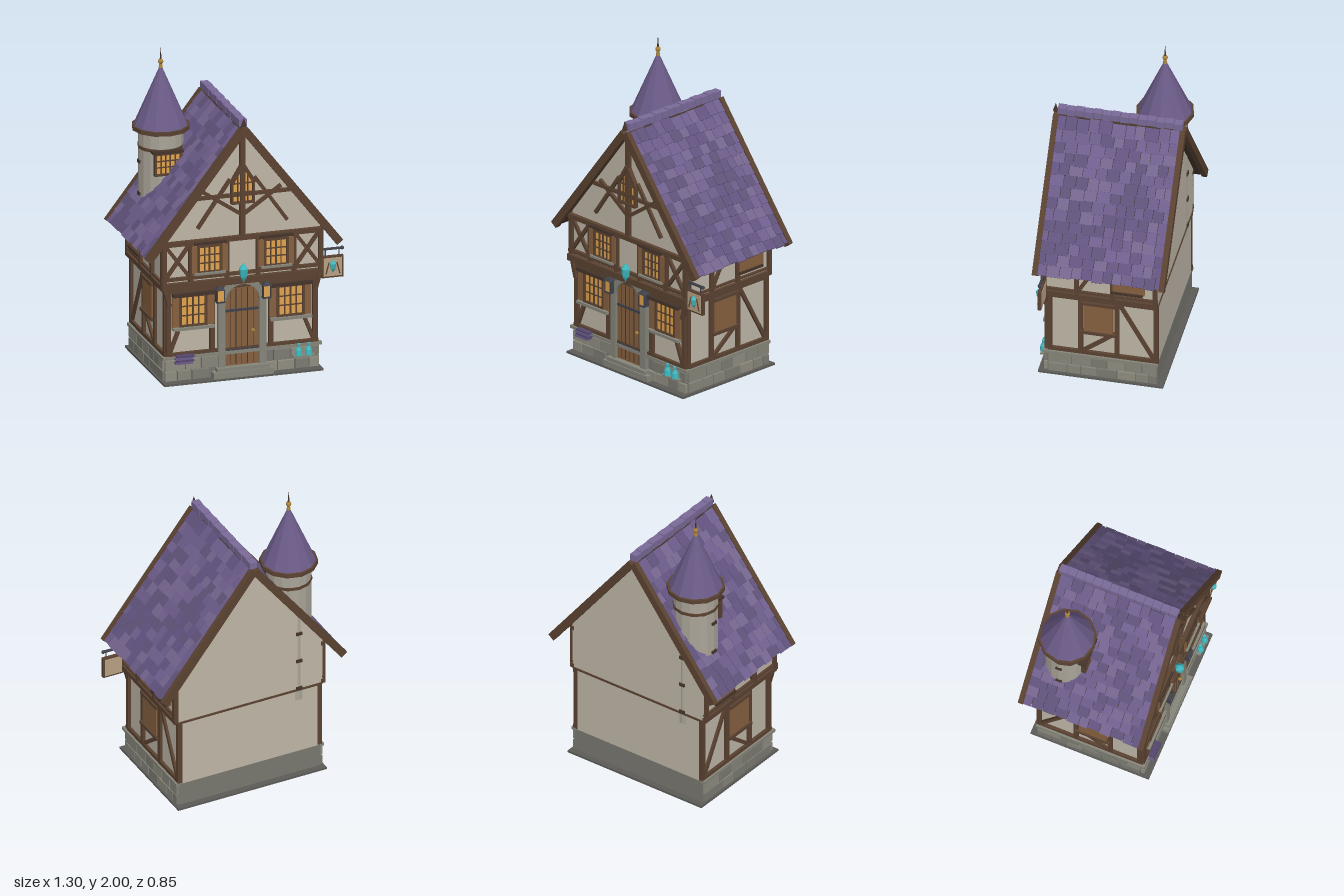
import * as THREE from 'three';

const C = { wall: 0xbdb5a6, timber: 0x5a4231, dark: 0x44342a, stone: 0x86857a, slab: 0x5c5b57, glass: 0xe0a24c,
  door: 0x85603f, iron: 0x40414a, teal: 0x3fb9c0, gold: 0xa9823a, roof: 0x6b5b88, tower: 0xaaa498 };
const mats = {};
const mat = c => mats[c] ??= new THREE.MeshStandardMaterial({ color: c, flatShading: true });
const CX = -0.015, PITCH = Math.atan(1.29);
let seed = 7;
const rnd = () => (seed = (seed * 16807) % 2147483647) / 2147483647;

function add(parent, name, geo, color, x = 0, y = 0, z = 0) {
  const m = new THREE.Mesh(geo, mat(color));
  m.name = name;
  m.position.set(x, y, z);
  parent.add(m);
  return m;
}
const box = (p, name, c, w, h, d, x, y, z) => add(p, name, new THREE.BoxGeometry(w, h, d), c, x, y, z);
function group(parent, name, x = 0, y = 0, z = 0) {
  const g = new THREE.Group();
  g.name = name;
  g.position.set(x, y, z);
  parent.add(g);
  return g;
}
// timber from one point to another on a wall plane
function beam(p, x1, y1, x2, y2, z, w = 0.028, d = 0.03) {
  const m = box(p, 'timber', C.timber, Math.hypot(x2 - x1, y2 - y1), w, d, (x1 + x2) / 2, (y1 + y2) / 2, z);
  m.rotation.z = Math.atan2(y2 - y1, x2 - x1);
}
function extrude(p, name, c, pts, z0, z1, hole) {
  const s = pts instanceof THREE.Shape ? pts : new THREE.Shape(pts.map(q => new THREE.Vector2(...q)));
  if (hole) s.holes.push(hole);
  return add(p, name, new THREE.ExtrudeGeometry(s, { depth: z1 - z0, bevelEnabled: false, curveSegments: 8 }), c, 0, 0, z0);
}
function arch(w, y0, spring) {
  const s = new THREE.Shape();
  s.moveTo(-w, y0);
  s.lineTo(w, y0);
  s.lineTo(w, spring);
  s.absarc(0, spring, w, 0, Math.PI, false);
  s.closePath();
  return s;
}
// glazed window with frame, bars and optional shutters
function windowUnit(p, x, y, w, h, z, cols, rows, shutter = 0) {
  const g = group(p, 'window', x, y, z);
  box(g, 'glass', C.glass, w, h, 0.015, 0, 0, 0);
  for (const s of [-1, 1]) {
    box(g, 'frameSide', C.timber, 0.014, h + 0.028, 0.03, s * (w / 2 + 0.007), 0, 0.005);
    box(g, 'frameRail', C.timber, w, 0.014, 0.03, 0, s * (h / 2 + 0.007), 0.005);
    if (shutter) box(g, 'shutter', C.door, shutter, h + 0.02, 0.02, s * (w / 2 + 0.016 + shutter / 2), 0, 0.008);
  }
  for (let i = 1; i < cols; i++) box(g, 'bar', C.timber, i * 2 === cols ? 0.012 : 0.007, h, 0.022, (i / cols - 0.5) * w, 0, 0.003);
  for (let i = 1; i < rows; i++) box(g, 'bar', C.timber, w, 0.007, 0.022, 0, (i / rows - 0.5) * h, 0.003);
}
// two courses of blocks along a foundation face
function stoneCourses(p, from, to, z, skip = 0) {
  for (const [y, h, off] of [[0.05, 0.058, 0], [0.12, 0.066, 0.05]]) {
    for (let x = from; x < to - 0.02;) {
      let end = Math.min(to, x + 0.08 + rnd() * 0.05 + (x === from ? off : 0));
      if (to - end < 0.05) end = to;
      const mid = (x + end) / 2;
      if (Math.abs(mid) > skip) box(p, 'stoneBlock', [C.stone, 0x7b7b72, 0x8f8d80][Math.floor(rnd() * 3)], end - x - 0.008, h, 0.022, mid, y, z);
      x = end;
    }
  }
}
function crystal(p, x, y, z, r, h) {
  add(p, 'crystal', new THREE.LatheGeometry([[0, -h / 2], [r * 0.75, -h * 0.2], [r, h * 0.2], [0, h / 2]].map(q => new THREE.Vector2(...q)), 6), C.teal, x, y, z);
}

function buildBody(root) {
  const g = group(root, 'body', CX);
  box(g, 'groundSlab', C.slab, 1.03, 0.014, 0.79, 0, 0.007, 0.01);
  box(g, 'foundation', 0x77766e, 0.985, 0.165, 0.695, 0, 0.0875, 0.003);
  box(g, 'lowerWalls', C.wall, 0.96, 0.46, 0.69, 0, 0.395, 0);
  extrude(g, 'upperWalls', C.wall, [[-0.505, 0.62], [0.505, 0.62], [0.505, 0.945], [0, 1.6], [-0.505, 0.945]], -0.348, 0.365);
  box(g, 'backFloorBeam', C.timber, 1.0, 0.014, 0.014, 0, 0.618, -0.346);
}

function buildFront(root) {
  const g = group(root, 'frontWall', CX), zl = 0.352, zu = 0.372;
  stoneCourses(g, -0.5, 0.5, 0.358, 0.17);
  box(g, 'stoneLedge', C.stone, 1.03, 0.02, 0.03, 0, 0.17, 0.36);
  beam(g, -0.49, 0.185, 0.49, 0.185, zl);
  beam(g, -0.49, 0.6, 0.49, 0.6, zl);
  beam(g, -0.52, 0.64, 0.52, 0.64, zu, 0.042, 0.05);
  beam(g, -0.52, 0.685, 0.52, 0.685, zu, 0.02);
  beam(g, -0.52, 0.915, 0.52, 0.915, zu, 0.03, 0.04);
  beam(g, 0, 0.93, 0, 1.59, zu, 0.034);
  beam(g, -0.31, 1.195, 0.31, 1.195, zu, 0.022, 0.026);
  for (const s of [-1, 1]) {
    beam(g, s * 0.475, 0.18, s * 0.475, 0.61, zl, 0.03);
    beam(g, s * 0.19, 0.18, s * 0.19, 0.61, zl, 0.03);
    beam(g, s * 0.465, 0.2, s * 0.41, 0.34, zl, 0.022);
    beam(g, s * 0.47, 0.51, s * 0.5, 0.62, 0.365, 0.025);
    windowUnit(g, s * 0.315, 0.468, 0.15, 0.18, 0.352, 4, 3, 0.045);
    box(g, 'windowSill', C.stone, 0.27, 0.018, 0.045, s * 0.315, 0.357, 0.365);
    box(g, 'windowHead', C.dark, 0.27, 0.022, 0.05, s * 0.315, 0.578, 0.365);
    // upper storey panel
    for (const x of [0.505, 0.335, 0.1]) beam(g, s * x, 0.66, s * x, 0.92, zu, 0.026);
    beam(g, s * 0.495, 0.695, s * 0.345, 0.9, zu, 0.022, 0.024);
    beam(g, s * 0.495, 0.9, s * 0.345, 0.695, zu, 0.022, 0.022);
    windowUnit(g, s * 0.215, 0.8, 0.13, 0.155, 0.372, 4, 3, 0.035);
    box(g, 'windowHead', C.dark, 0.21, 0.018, 0.05, s * 0.215, 0.908, 0.38);
    box(g, 'windowSill', C.stone, 0.2, 0.014, 0.04, s * 0.215, 0.71, 0.385);
    // gable braces
    beam(g, s * 0.29, 1.0, s * 0.08, 1.3, zu, 0.022, 0.022);
    beam(g, s * 0.25, 1.23, 0, 1.06, zu, 0.022, 0.024);
    beam(g, s * 0.075, 1.27, 0, 1.395, zu + 0.005, 0.022, 0.035);
    beam(g, s * 0.07, 1.14, s * 0.07, 1.28, zu + 0.005, 0.014, 0.03);
  }
  extrude(g, 'atticGlass', C.glass, [[-0.065, 1.15], [0.065, 1.15], [0.065, 1.28], [0, 1.38], [-0.065, 1.28]], 0.365, 0.378);
  beam(g, -0.075, 1.145, 0.075, 1.145, zu + 0.006, 0.016);
  for (const y of [1.21, 1.27]) beam(g, -0.065, y, 0.065, y, zu + 0.003, 0.008, 0.026);
  for (const x of [-0.033, 0.033]) beam(g, x, 1.15, x, 1.32, zu + 0.003, 0.008, 0.026);
}

function buildDoor(root) {
  const g = group(root, 'doorway', CX);
  extrude(g, 'doorSurround', C.stone, [[-0.155, 0.05], [0.155, 0.05], [0.155, 0.53], [0.1, 0.62], [-0.1, 0.62], [-0.155, 0.53]], 0.34, 0.38, arch(0.11, 0.08, 0.5));
  extrude(g, 'door', C.door, arch(0.11, 0.08, 0.5), 0.34, 0.362);
  for (let i = -2; i <= 2; i++) box(g, 'plankGap', C.dark, 0.004, 0.49, 0.004, i * 0.037, 0.335, 0.362);
  for (const y of [0.18, 0.44]) box(g, 'doorStrap', C.iron, 0.21, 0.016, 0.008, 0, y, 0.365);
  add(g, 'doorKnob', new THREE.SphereGeometry(0.012, 8, 6), C.gold, 0.07, 0.3, 0.372);
  box(g, 'upperStep', C.stone, 0.34, 0.025, 0.055, 0, 0.068, 0.372);
  box(g, 'lowerStep', C.stone, 0.39, 0.04, 0.06, 0, 0.034, 0.375);
  crystal(g, 0, 0.69, 0.398, 0.03, 0.13);
  for (const s of [-1, 1]) {
    const l = group(g, 'lantern', s * 0.15, 0.555, 0.39);
    box(l, 'lanternGlass', C.glass, 0.042, 0.075, 0.035, 0, 0, 0);
    box(l, 'lanternBase', C.iron, 0.054, 0.01, 0.046, 0, -0.04, 0);
    add(l, 'lanternCap', new THREE.ConeGeometry(0.04, 0.035, 4).rotateY(Math.PI / 4), C.iron, 0, 0.055, 0);
    for (const x of [-1, 1]) box(l, 'lanternPost', C.iron, 0.006, 0.078, 0.04, x * 0.023, 0, 0);
  }
}

function buildSide(root, s) {
  const g = group(root, s > 0 ? 'leftWall' : 'rightWall', CX);
  g.rotation.y = s * Math.PI / 2;
  const b = (z1, y1, z2, y2, out, w, d) => beam(g, -s * z1, y1, -s * z2, y2, out, w, d);
  const lo = 0.484, up = 0.51;
  stoneCourses(g, -0.345, 0.345, 0.495);
  box(g, 'stoneLedge', C.stone, 0.7, 0.02, 0.03, 0, 0.165, 0.497);
  b(-0.35, 0.185, 0.36, 0.185, lo);
  b(-0.35, 0.6, 0.36, 0.6, lo);
  for (const z of [0.335, 0.14, -0.09, -0.335]) b(z, 0.18, z, 0.61, lo);
  b(0.12, 0.2, -0.07, 0.35, lo, 0.024, 0.024);
  b(-0.11, 0.58, -0.32, 0.2, lo, 0.024, 0.024);
  box(g, 'sideShutter', C.door, 0.18, 0.21, 0.04, -s * 0.025, 0.465, 0.485);
  b(0.13, 0.575, -0.08, 0.575, 0.492, 0.02, 0.045);
  b(0.14, 0.352, -0.09, 0.352, 0.492, 0.02, 0.045);
  b(-0.35, 0.632, 0.38, 0.632, up, 0.03);
  b(-0.35, 0.665, 0.38, 0.665, up, 0.014, 0.02);
  b(-0.35, 0.91, 0.38, 0.91, up);
  for (const z of [0.365, 0.16, -0.065, -0.335]) b(z, 0.64, z, 0.92, up, 0.026);
  b(0.15, 0.67, 0.02, 0.9, up, 0.022, 0.022);
  box(g, 'upperShutter', C.door, 0.2, 0.16, 0.04, s * 0.17, 0.79, 0.51);
  box(g, 'upperSill', C.dark, 0.2, 0.016, 0.05, s * 0.16, 0.708, 0.515);
}

function buildRoof(root) {
  const g = group(root, 'roof', CX, 1.6, 0), L = 0.975, rows = 14;
  const tones = [C.roof, 0x625380, 0x75658f, 0x5f5279, 0x6f5f8e];
  for (const s of [1, -1]) {
    const turn = group(g, 'roofSide');
    turn.rotation.y = s > 0 ? 0 : Math.PI;
    const p = group(turn, 'roofSlope');
    p.rotation.z = -PITCH;
    box(p, 'roofDeck', C.dark, L, 0.02, 0.78, L / 2, 0.01, 0);
    for (const z of [-0.4, 0.4]) box(p, 'bargeBoard', C.timber, L + 0.03, 0.05, 0.034, L / 2, 0.018, z);
    for (let r = 0; r < rows; r++) {
      for (let z = -0.385; z < 0.38;) {
        let end = Math.min(0.385, z + 0.055 + rnd() * 0.035 - (z < -0.38 && r % 2 ? 0.03 : 0));
        if (0.385 - end < 0.03) end = 0.385;
        const t = box(p, 'roofTile', tones[Math.floor(rnd() * 5)], 0.085, 0.013, end - z - 0.004, (r + 0.5) * L / rows + (rnd() - 0.5) * 0.012, 0.029, (z + end) / 2);
        t.rotation.z = 0.09;
        z = end;
      }
    }
  }
  for (let i = 0; i < 14; i++) box(g, 'ridgeTile', 0x7a6a98, 0.05, 0.045, 0.053, 0, 0.06 + (i % 2) * 0.004, -0.372 + i * 0.0565);
  add(g, 'ridgeKnob', new THREE.ConeGeometry(0.018, 0.06, 6), C.dark, 0, 0.075, 0.405);
}

function buildTower(root) {
  const g = group(root, 'tower', -0.355, 0, -0.21);
  const ring = (name, c, r, h, y) => add(g, name, new THREE.CylinderGeometry(r, r, h, 12), c, 0, y, 0);
  add(g, 'towerWall', new THREE.CylinderGeometry(0.14, 0.14, 0.95, 16), C.tower, 0, 1.015, 0);
  ring('towerBand', C.timber, 0.146, 0.02, 1.365);
  ring('towerEave', C.timber, 0.182, 0.026, 1.487);
  add(g, 'towerRoof', new THREE.ConeGeometry(0.168, 0.39, 12), C.roof, 0, 1.695, 0);
  add(g, 'finialBall', new THREE.SphereGeometry(0.017, 10, 8), C.gold, 0, 1.905, 0);
  add(g, 'finialCollar', new THREE.CylinderGeometry(0.008, 0.014, 0.03, 8), C.gold, 0, 1.88, 0);
  add(g, 'finialSpike', new THREE.ConeGeometry(0.007, 0.09, 6), C.dark, 0, 1.955, 0);
  windowUnit(g, 0, 1.285, 0.15, 0.12, 0.138, 5, 3);
  box(g, 'towerWindowHead', C.dark, 0.2, 0.018, 0.05, 0, 1.362, 0.135);
  // stones set into the wall
  for (const [a, y] of [[-1.57, 1.27], [-1.57, 1.06], [3.14, 0.63], [3.14, 0.83], [3.14, 1.03]]) {
    const m = box(g, 'wallStone', C.dark, 0.04, 0.02, 0.015, Math.sin(a) * 0.14, y, Math.cos(a) * 0.14);
    m.rotation.y = a;
  }
}

function buildExtras(root) {
  const sign = group(root, 'hangingSign', 0.57, 0.66, 0.365);
  box(sign, 'signFrame', C.timber, 0.14, 0.14, 0.022, 0, 0, 0);
  box(sign, 'signBoard', 0xb79f82, 0.118, 0.118, 0.028, 0, 0, 0);
  crystal(sign, 0, 0.005, 0.015, 0.022, 0.085);
  for (const s of [-1, 1]) {
    beam(sign, s * 0.045, -0.045, s * 0.025, 0.03, 0.014, 0.007, 0.008);
    box(sign, 'signChain', C.iron, 0.006, 0.045, 0.006, s * 0.045, 0.09, 0);
  }
  box(sign, 'signArm', C.iron, 0.15, 0.012, 0.014, -0.005, 0.115, 0);
  add(sign, 'armKnob', new THREE.SphereGeometry(0.012, 8, 6), C.iron, 0.065, 0.115, 0);
  for (let i = 0; i < 4; i++) box(root, 'stackedTile', i % 2 ? 0x54466e : C.roof, 0.11, 0.011, 0.04, -0.4 + (i % 2) * 0.008, 0.142 + i * 0.014, 0.388);
  for (const x of [0.345, 0.41]) {
    add(root, 'bottle', new THREE.LatheGeometry([[0, 0], [0.024, 0], [0.02, 0.035], [0.009, 0.055], [0.011, 0.075], [0, 0.075]].map(q => new THREE.Vector2(...q)), 8), C.teal, x, 0.11, 0.388);
  }
  box(root, 'bottleShelf', C.stone, 0.14, 0.012, 0.04, 0.378, 0.105, 0.382);
}

export function createModel() {
  const root = new THREE.Group();
  root.name = 'timberHouse';
  buildBody(root);
  buildFront(root);
  buildDoor(root);
  for (const s of [1, -1]) buildSide(root, s);
  buildRoof(root);
  buildTower(root);
  buildExtras(root);
  return root;
}
